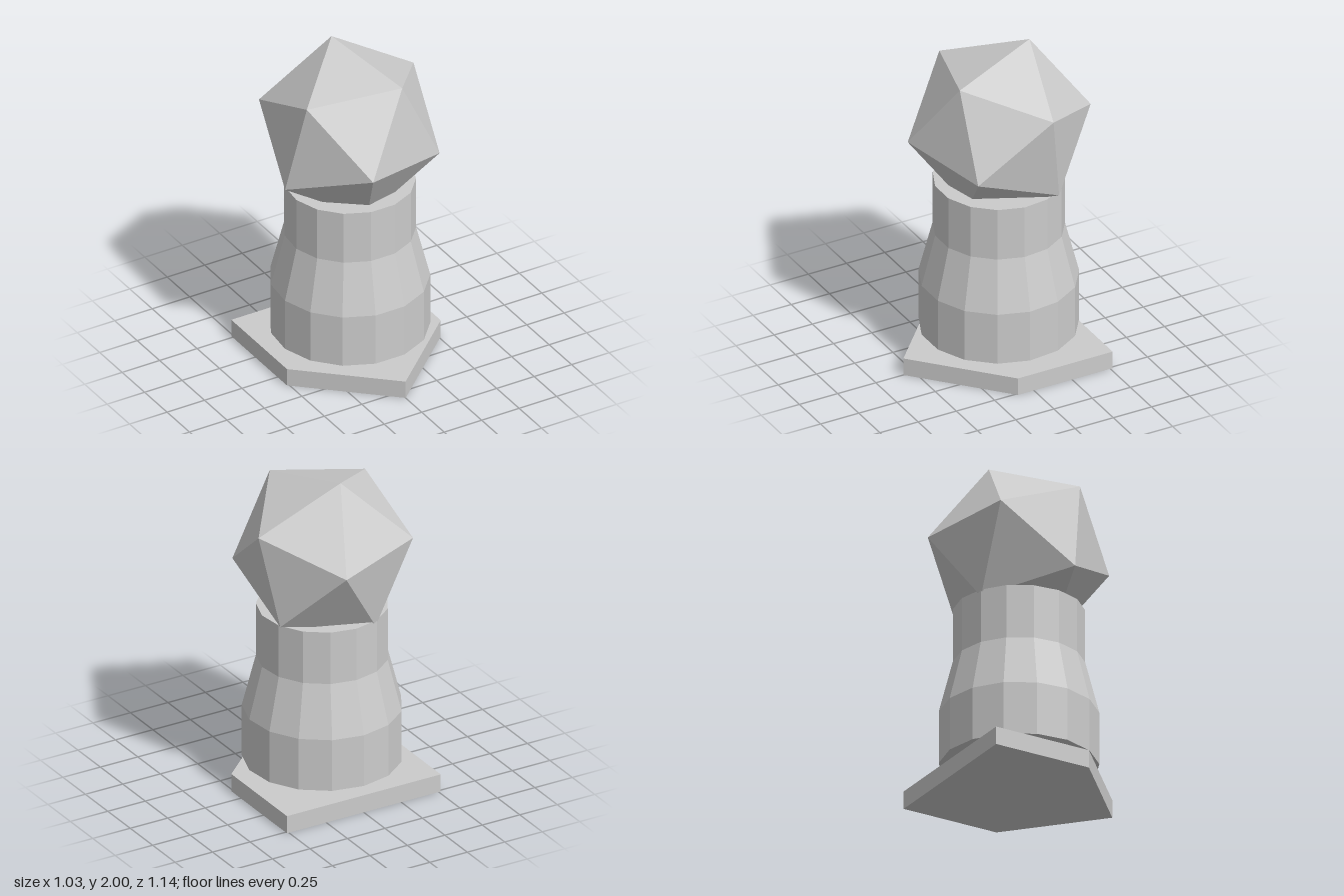
import * as THREE from 'three';
import { ConvexGeometry } from 'three/addons/geometries/ConvexGeometry.js';

const material = new THREE.MeshStandardMaterial({ color: 0xcccccc, flatShading: true });

function addPart(group, name, geometry, x, y, z) {
  const mesh = new THREE.Mesh(geometry, material);
  mesh.name = name;
  mesh.position.set(x, y, z);
  group.add(mesh);
  return mesh;
}

export function createModel() {
  const group = new THREE.Group();
  group.name = 'ballOnPedestal';

  // Five-sided base plate, pointing to the front (shape y becomes -z)
  const outline = [[-0.513, 0.515], [-0.513, -0.105], [0, -0.57], [0.513, -0.105], [0.513, 0.515]];
  const plate = new THREE.ExtrudeGeometry(
    new THREE.Shape(outline.map(([x, y]) => new THREE.Vector2(x, y))),
    { depth: 0.11, bevelEnabled: false }
  );
  plate.rotateX(-Math.PI / 2);
  addPart(group, 'basePlate', plate, 0, 0, 0);

  // Fifteen-sided pedestal with a narrower neck, closed at both ends
  const profile = [[0, 0.17], [0.462, 0.17], [0.462, 0.495], [0.381, 0.815], [0.381, 1.145], [0, 1.145]];
  const pedestal = new THREE.LatheGeometry(
    profile.map(([r, y]) => new THREE.Vector2(r, y)), 15, Math.PI
  );
  addPart(group, 'pedestal', pedestal, 0, 0, -0.054);

  // Tilted twenty-sided ball: six corners and their opposites
  const corners = [
    [0, 0.502, -0.198], [0.15, 0.393, 0.342], [0.481, 0.227, -0.089],
    [0.15, 0.057, -0.517], [-0.39, 0.117, -0.353], [-0.39, 0.331, 0.177]
  ].map(c => new THREE.Vector3(...c).setLength(0.54));
  const ball = new ConvexGeometry([...corners, ...corners.map(c => c.clone().negate())]);
  addPart(group, 'ball', ball, 0, 1.498, -0.057);

  return group;
}
